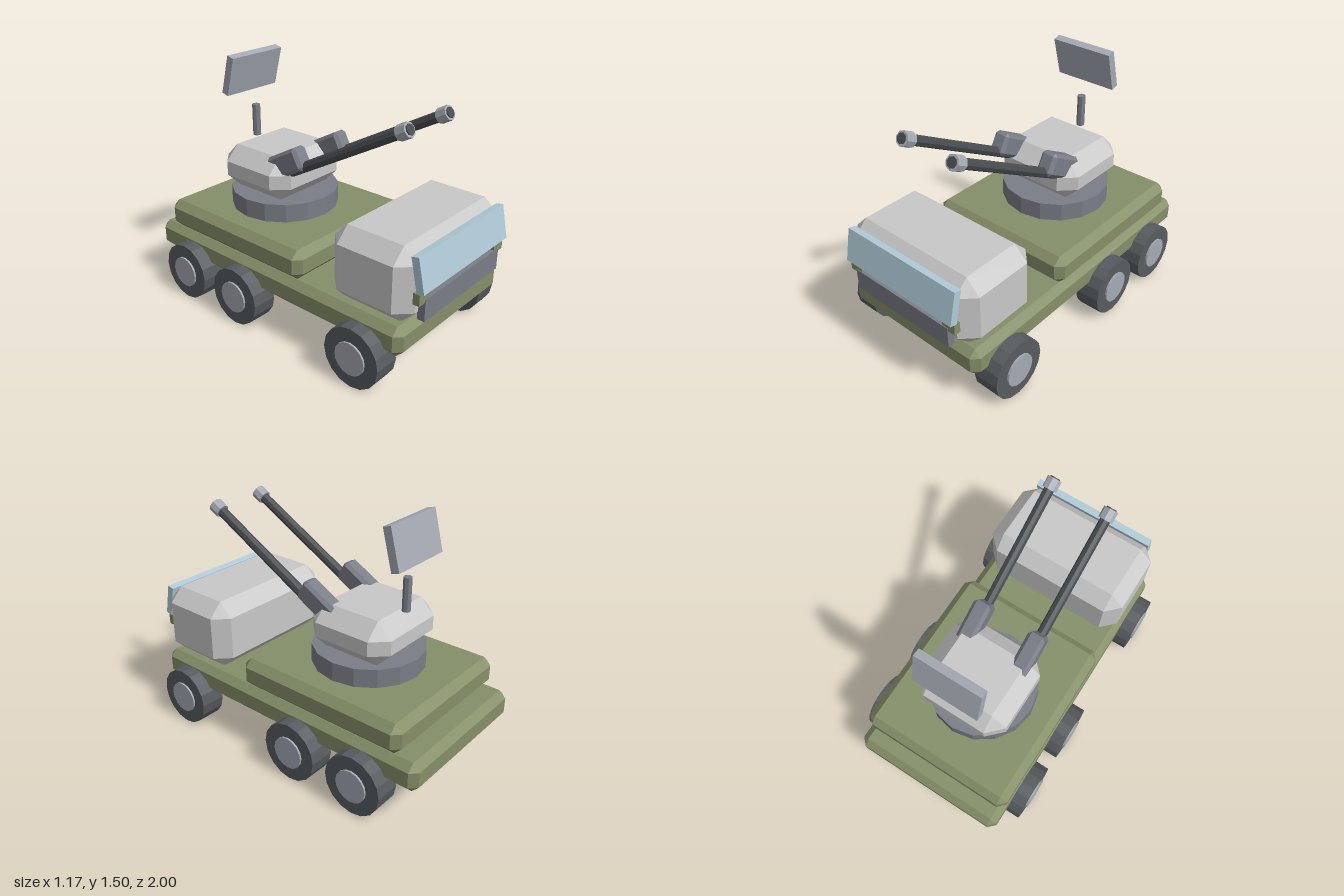
import * as THREE from 'three';
import { ConvexGeometry } from 'three/addons/geometries/ConvexGeometry.js';

const mat = (name, color) => {
  const m = new THREE.MeshStandardMaterial({ color });
  m.name = name;
  return m;
};

// Box with every edge chamfered by b
function chamferBox(w, h, d, b) {
  const x = w / 2, y = h / 2, z = d / 2, pts = [];
  for (const i of [-1, 1]) for (const j of [-1, 1]) for (const k of [-1, 1]) {
    pts.push(
      new THREE.Vector3(i * x, j * (y - b), k * (z - b)),
      new THREE.Vector3(i * (x - b), j * y, k * (z - b)),
      new THREE.Vector3(i * (x - b), j * (y - b), k * z));
  }
  return new ConvexGeometry(pts);
}

// Faceted cylinder along the chosen axis
function facetCylinder(r, length, sides, axis = 'y') {
  const g = new THREE.CylinderGeometry(r, r, length, sides);
  if (axis === 'x') g.rotateZ(Math.PI / 2);
  if (axis === 'z') g.rotateX(Math.PI / 2);
  const flat = g.toNonIndexed();
  flat.computeVertexNormals();
  return flat;
}

export function createModel() {
  const olive = mat('olive green', 0x858f68);
  const pale = mat('pale grey', 0xc8c8c8);
  const glass = mat('pale blue glass', 0xb0ccd8);
  const slate = mat('slate grey', 0x7a7d87);
  const steel = mat('light steel', 0xa5aab4);
  const rubber = mat('dark rubber', 0x585c60);
  const gunmetal = mat('gunmetal', 0x484c50);

  const model = new THREE.Group();
  model.name = 'antiAircraftTruck';
  const add = (name, geometry, material, x, y, z, parent = model) => {
    const m = new THREE.Mesh(geometry, material);
    m.name = name;
    m.position.set(x, y, z);
    parent.add(m);
    return m;
  };

  // Hull
  add('chassis', chamferBox(0.98, 0.177, 1.925, 0.042), olive, 0, 0.315, -0.0375);
  add('rearDeck', chamferBox(0.98, 0.18, 1.115, 0.045), olive, 0, 0.495, -0.326);

  // Cab and its front fittings
  add('cab', chamferBox(0.94, 0.44, 0.53, 0.086), pale, 0, 0.61, 0.675);
  add('windshield', new THREE.BoxGeometry(0.81, 0.2, 0.045), glass, 0, 0.707, 0.957).rotation.x = -0.21;
  add('grille', new THREE.BoxGeometry(0.716, 0.13, 0.045), slate, 0, 0.495, 0.958);
  for (const s of [-1, 1])
    add('headlampBlock', new THREE.BoxGeometry(0.09, 0.066, 0.04), olive, s * 0.361, 0.573, 0.956);

  // Wheels
  const tire = facetCylinder(0.18, 0.157, 16, 'x');
  const hub = facetCylinder(0.098, 0.18, 16, 'x');
  for (const s of [-1, 1]) for (const z of [0.68, -0.215, -0.663]) {
    const wheel = new THREE.Group();
    wheel.name = 'wheel';
    wheel.position.set(s * 0.494, 0.18, z);
    add('tire', tire, rubber, 0, 0, 0, wheel);
    add('hub', hub, steel, 0, 0, 0, wheel);
    model.add(wheel);
  }

  // Turret
  add('turretRing', facetCylinder(0.333, 0.115, 16), slate, 0, 0.64, -0.333);
  add('turret', chamferBox(0.584, 0.267, 0.54, 0.09), pale, 0, 0.8335, -0.355);

  // Twin guns, tilted up
  for (const s of [-1, 1]) {
    const gun = new THREE.Group();
    gun.name = s > 0 ? 'leftGun' : 'rightGun';
    gun.position.set(s * 0.18, 0.89, -0.105);
    gun.rotation.x = -0.503;
    add('breech', chamferBox(0.108, 0.14, 0.28, 0.02), slate, 0, 0.055, 0.006, gun);
    add('barrel', facetCylinder(0.031, 0.94, 8, 'z'), gunmetal, 0, 0, 0.47, gun);
    add('muzzle', facetCylinder(0.044, 0.067, 8, 'z'), steel, 0, 0, 0.9, gun);
    model.add(gun);
  }

  // Radar
  add('radarMast', facetCylinder(0.025, 0.2, 8), slate, 0, 1.065, -0.573);
  add('radarPanel', new THREE.BoxGeometry(0.4, 0.245, 0.05), steel, 0, 1.378, -0.596).rotation.x = 0.26;

  return model;
}
